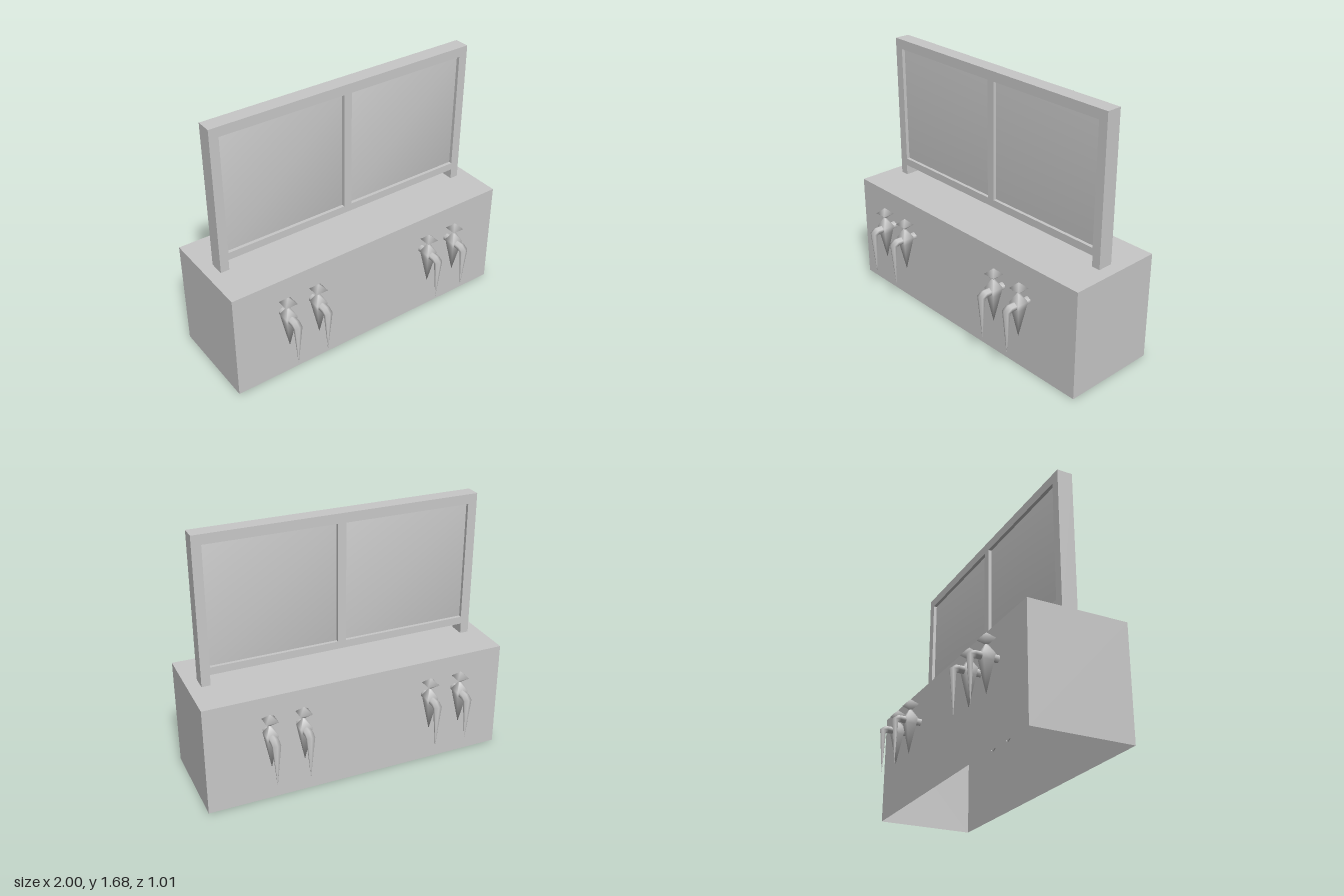
import * as THREE from 'three';
import { mergeVertices } from 'three/addons/utils/BufferGeometryUtils.js';

const grey = new THREE.MeshStandardMaterial({ color: 0xc8c8c8, side: THREE.DoubleSide });
grey.name = 'plainGrey';

function add(parent, name, geometry, x = 0, y = 0, z = 0) {
  const mesh = new THREE.Mesh(geometry, grey);
  mesh.name = name;
  mesh.position.set(x, y, z);
  parent.add(mesh);
  return mesh;
}

// Share corners so that the shading runs smoothly over the edges
function smooth(geometry) {
  geometry.deleteAttribute('normal');
  geometry.deleteAttribute('uv');
  const merged = mergeVertices(geometry, 1e-4);
  merged.computeVertexNormals();
  return merged;
}

const points = (list) => list.map(([x, y]) => new THREE.Vector2(x, y));

// Square turned piece: profile is [half width, height]
function squareTurned(profile) {
  const scaled = profile.map(([w, y]) => [w * Math.SQRT2, y]);
  return smooth(new THREE.LatheGeometry(points(scaled), 4).rotateY(Math.PI / 4));
}

// Arm and spout swept through rings, each given by its outer and inner [z, y] and half width
function spoutGeometry() {
  const rings = [
    { out: [0.31, 0.52], inn: [0.31, 0.472], w: 0.025 },
    { out: [0.468, 0.52], inn: [0.452, 0.472], w: 0.025 },
    { out: [0.506, 0.492], inn: [0.466, 0.472], w: 0.025 },
    { out: [0.481, 0.203], inn: [0.48, 0.203], w: 0.001 },
  ];
  const sides = 6, position = [], index = [];
  for (const { out, inn, w } of rings) {
    for (let i = 0; i < sides; i++) {
      const a = (i / sides) * Math.PI * 2;
      const t = (1 - Math.cos(a)) / 2;
      position.push(
        (w * Math.sin(a)) / Math.sin(Math.PI / 3),
        THREE.MathUtils.lerp(out[1], inn[1], t),
        THREE.MathUtils.lerp(out[0], inn[0], t));
    }
  }
  for (let r = 0; r < rings.length - 1; r++) {
    for (let i = 0; i < sides; i++) {
      const a = r * sides + i, b = r * sides + ((i + 1) % sides);
      index.push(a, a + sides, b, b, a + sides, b + sides);
    }
  }
  const geometry = new THREE.BufferGeometry();
  geometry.setAttribute('position', new THREE.Float32BufferAttribute(position, 3));
  geometry.setIndex(index);
  geometry.computeVertexNormals();
  return geometry;
}

export function createModel() {
  const model = new THREE.Group();
  model.name = 'tapCounter';

  // Counter box, open underneath
  const box = new THREE.BoxGeometry(2, 0.72, 0.636);
  const faces = Array.from(box.index.array);
  faces.splice(18, 6);
  box.setIndex(faces);
  box.clearGroups();
  add(model, 'counter', box, 0, 0.36, 0);

  // Frame on two short legs, with two openings
  const outline = new THREE.Shape(points([
    [-0.917, 0.72], [-0.86, 0.72], [-0.86, 0.79], [0.86, 0.79],
    [0.86, 0.72], [0.917, 0.72], [0.917, 1.68], [-0.917, 1.68],
  ]));
  for (const s of [-1, 1]) {
    outline.holes.push(new THREE.Path(points([
      [s * 0.027, 0.84], [s * 0.857, 0.84], [s * 0.857, 1.617], [s * 0.027, 1.617],
    ])));
  }
  const frame = new THREE.ExtrudeGeometry(outline, { depth: 0.1, bevelEnabled: false });
  add(model, 'frame', frame, 0, 0, -0.05);

  // Smoothly shaded panels, set back inside the openings
  for (const s of [-1, 1]) {
    add(model, 'panel', smooth(new THREE.BoxGeometry(0.83, 0.777, 0.056)), s * 0.442, 1.2285, 0);
  }

  // Taps in pairs on the front and the back
  const knob = squareTurned([[0, 0.565], [0.04, 0.602], [0, 0.642]]);
  const body = squareTurned([[0, 0.275], [0.032, 0.47], [0.038, 0.51], [0.008, 0.568], [0, 0.57]]);
  const spout = spoutGeometry();
  for (const side of [1, -1]) {
    for (const x of [-0.671, -0.457, 0.396, 0.61]) {
      const tap = new THREE.Group();
      tap.name = side > 0 ? 'frontTap' : 'backTap';
      tap.position.x = x;
      if (side < 0) tap.rotation.y = Math.PI;
      add(tap, 'knob', knob, 0, 0, 0.388);
      add(tap, 'tapBody', body, 0, 0, 0.388);
      add(tap, 'spout', spout);
      model.add(tap);
    }
  }
  return model;
}
